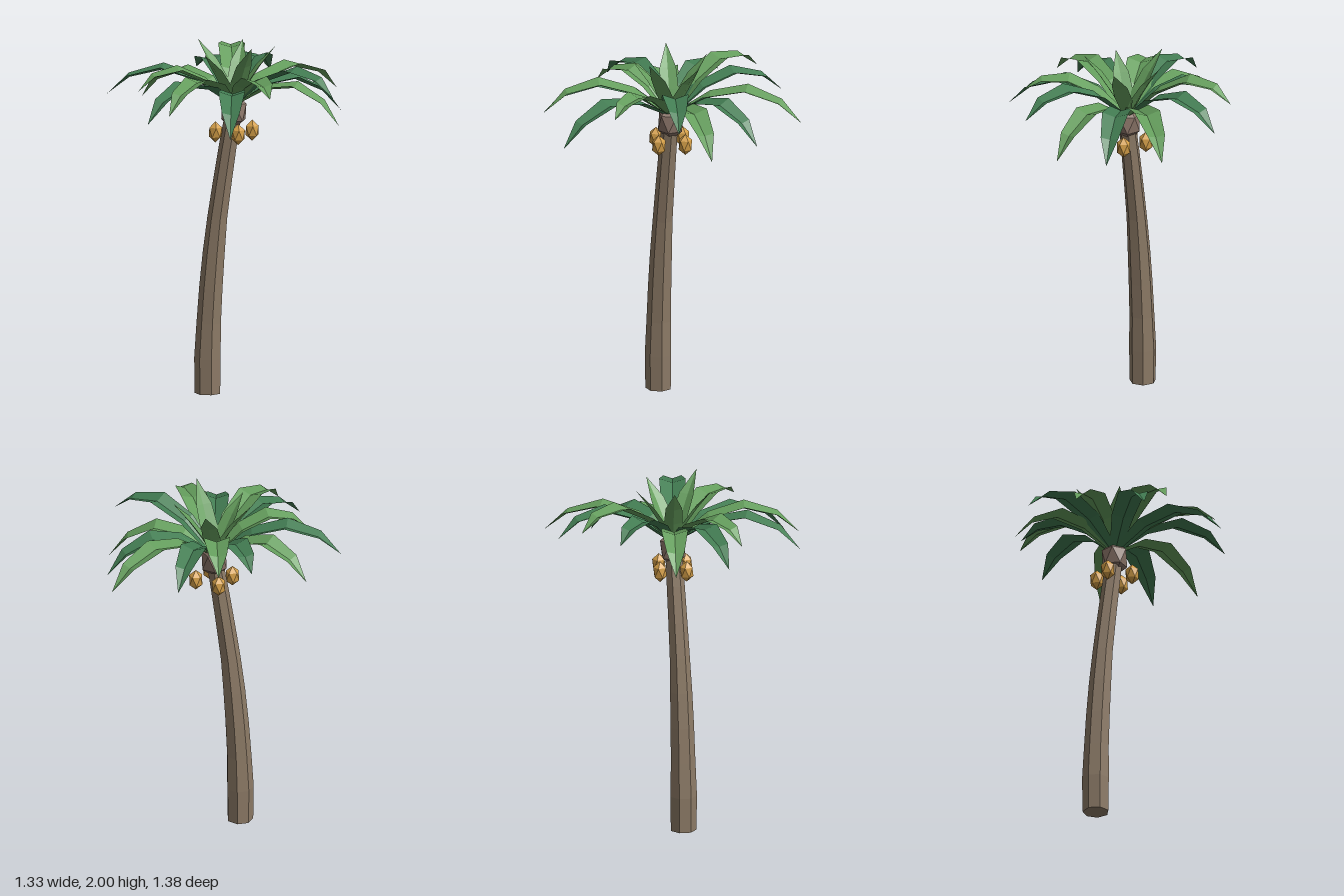
import * as THREE from 'three';

const flat = (name, color, side = THREE.FrontSide) =>
  Object.assign(new THREE.MeshStandardMaterial({ color, flatShading: true, side }), { name });

const CX = 0.045, CZ = -0.036; // crown centre

// Channelled leaf blade: edges rise above the midrib.
// path(t) gives [reach, height], half(t) the half width
function frondGeometry(angle, path, half, fold, steps) {
  const pos = [], index = [];
  const c = Math.cos(angle), s = Math.sin(angle);
  steps.forEach((t, i) => {
    const w = half(t), [r, y] = path(t);
    const [r0, y0] = path(Math.max(0, t - 0.01)), [r1, y1] = path(t + 0.01);
    const lift = (w * fold) / Math.hypot(r1 - r0, y1 - y0);
    for (const k of [-1, 0, 1]) {
      const e = Math.abs(k) * lift;
      const rr = r - (y1 - y0) * e;
      pos.push(CX + c * rr - s * w * k, y + (r1 - r0) * e, CZ + s * rr + c * w * k);
    }
    if (!i) return;
    const a = (i - 1) * 3, b = i * 3;
    for (const j of [0, 1]) {
      index.push(a + j, a + j + 1, b + j);
      // the tip ring is a single point, so it needs one triangle per side
      if (i < steps.length - 1) index.push(a + j + 1, b + j + 1, b + j);
    }
  });
  const g = new THREE.BufferGeometry();
  g.setAttribute('position', new THREE.Float32BufferAttribute(pos, 3));
  g.setIndex(index);
  g.computeVertexNormals();
  return g;
}

// Linear lookup in a list of [t, value] pairs
const profile = (pts) => (t) => {
  for (let i = 1; i < pts.length; i++) {
    if (t <= pts[i][0]) {
      const [t0, v0] = pts[i - 1], [t1, v1] = pts[i];
      return v0 + ((v1 - v0) * (t - t0)) / (t1 - t0);
    }
  }
  return 0;
};

// Icosahedron standing on a corner, stretched upwards
const standingIcosahedron = (radius, stretch) =>
  new THREE.IcosahedronGeometry(radius).rotateZ(-Math.atan(2 / (1 + Math.sqrt(5)))).scale(1, stretch, 1);

export function createModel() {
  const tree = new THREE.Group();
  tree.name = 'palmTree';
  const bark = flat('bark', 0x8c7a66);
  const crownBark = flat('crownBark', 0x8a7468);
  const darkLeaf = flat('darkLeaf', 0x437d53, THREE.DoubleSide);
  const lightLeaf = flat('lightLeaf', 0x659e5d, THREE.DoubleSide);
  const husk = flat('husk', 0xd49f48);

  const add = (name, geometry, material, parent = tree) => {
    const mesh = new THREE.Mesh(geometry, material);
    mesh.name = name;
    parent.add(mesh);
    return mesh;
  };
  const addGroup = (name) => {
    const group = new THREE.Group();
    group.name = name;
    tree.add(group);
    return group;
  };

  // Leaning seven-sided trunk: rows of [height, centre x, radius], bottom to top
  const rows = [[0, -0.101, 0.074], [0.2, -0.101, 0.077], [0.4, -0.094, 0.071], [0.6, -0.082, 0.068],
    [0.8, -0.066, 0.064], [1, -0.046, 0.058], [1.2, -0.018, 0.055], [1.4, 0.012, 0.052], [1.6, 0.045, 0.048]];
  const n = rows.length - 1;
  const trunk = new THREE.CylinderGeometry(1, 1, n, 7, n, false, Math.PI);
  const p = trunk.attributes.position;
  for (let i = 0; i < p.count; i++) {
    const [y, x, r] = rows[Math.round(p.getY(i) + n / 2)];
    p.setXYZ(i, x + p.getX(i) * r, y, -0.034 + p.getZ(i) * r);
  }
  trunk.computeVertexNormals();
  add('trunk', trunk, bark);

  // Faceted knob the fronds grow from
  add('crownKnob', standingIcosahedron(0.08, 1.32), crownBark).position.set(CX, 1.602, CZ);

  // Ring of four coconuts
  const nuts = addGroup('coconuts');
  for (let i = 0; i < 4; i++) {
    const a = (65 + 90 * i) * Math.PI / 180;
    add('coconut', standingIcosahedron(0.042, 1.43), husk, nuts)
      .position.set(CX + Math.cos(a) * 0.105, 1.49, CZ + Math.sin(a) * 0.105);
  }

  // Arching fronds: tip positions and sag, alternating dark and light
  const fronds = addGroup('archingFronds');
  const tips = [[0.12, 1.715, -0.695, 0.5], [0.51, 1.645, -0.62, 0.5], [0.6, 1.58, -0.3, 0.5],
    [0.65, 1.55, 0.005, 0.5], [0.66, 1.745, 0.215, 0.5], [0.35, 1.775, 0.46, 0.36], [0.17, 1.585, 0.69, 0.5],
    [-0.19, 1.69, 0.625, 0.5], [-0.32, 1.63, 0.58, 0.5], [-0.455, 1.735, 0.175, 0.44], [-0.665, 1.685, 0.01, 0.5],
    [-0.52, 1.625, -0.25, 0.5], [-0.255, 1.76, -0.475, 0.4], [-0.1, 1.805, -0.645, 0.5]];
  const archWidth = profile([[0, 0.03], [0.28, 0.064], [0.56, 0.074], [0.82, 0.05], [1, 0]]);
  tips.forEach(([x, y, z, sag], i) => {
    const reach = Math.hypot(x - CX, z - CZ);
    const path = (t) => [0.015 + (reach - 0.015) * t, 1.64 + (y - 1.64 + sag) * t - sag * t ** 2.5];
    const g = frondGeometry(Math.atan2(z - CZ, x - CX), path, archWidth, 0.35, [0, 0.28, 0.56, 0.82, 1]);
    add('archingFrond', g, i % 2 ? lightLeaf : darkLeaf, fronds);
  });

  // Five young upright fronds in the middle
  const young = addGroup('uprightFronds');
  const youngTips = [[0.05, 1.97, -0.26], [0.265, 1.965, -0.105], [0.185, 2, 0.165], [-0.085, 1.95, 0.14], [-0.175, 1.99, -0.115]];
  const youngWidth = profile([[0, 0.03], [0.3, 0.052], [0.6, 0.046], [1, 0]]);
  for (const [x, y, z] of youngTips) {
    const reach = Math.hypot(x - CX, z - CZ);
    const path = (t) => [0.015 + (reach - 0.015) * t, 1.65 + (y - 1.65) * (1.2 * t - 0.2 * t * t)];
    add('uprightFrond', frondGeometry(Math.atan2(z - CZ, x - CX), path, youngWidth, 0.3, [0, 0.3, 0.6, 1]), lightLeaf, young);
  }
  return tree;
}
